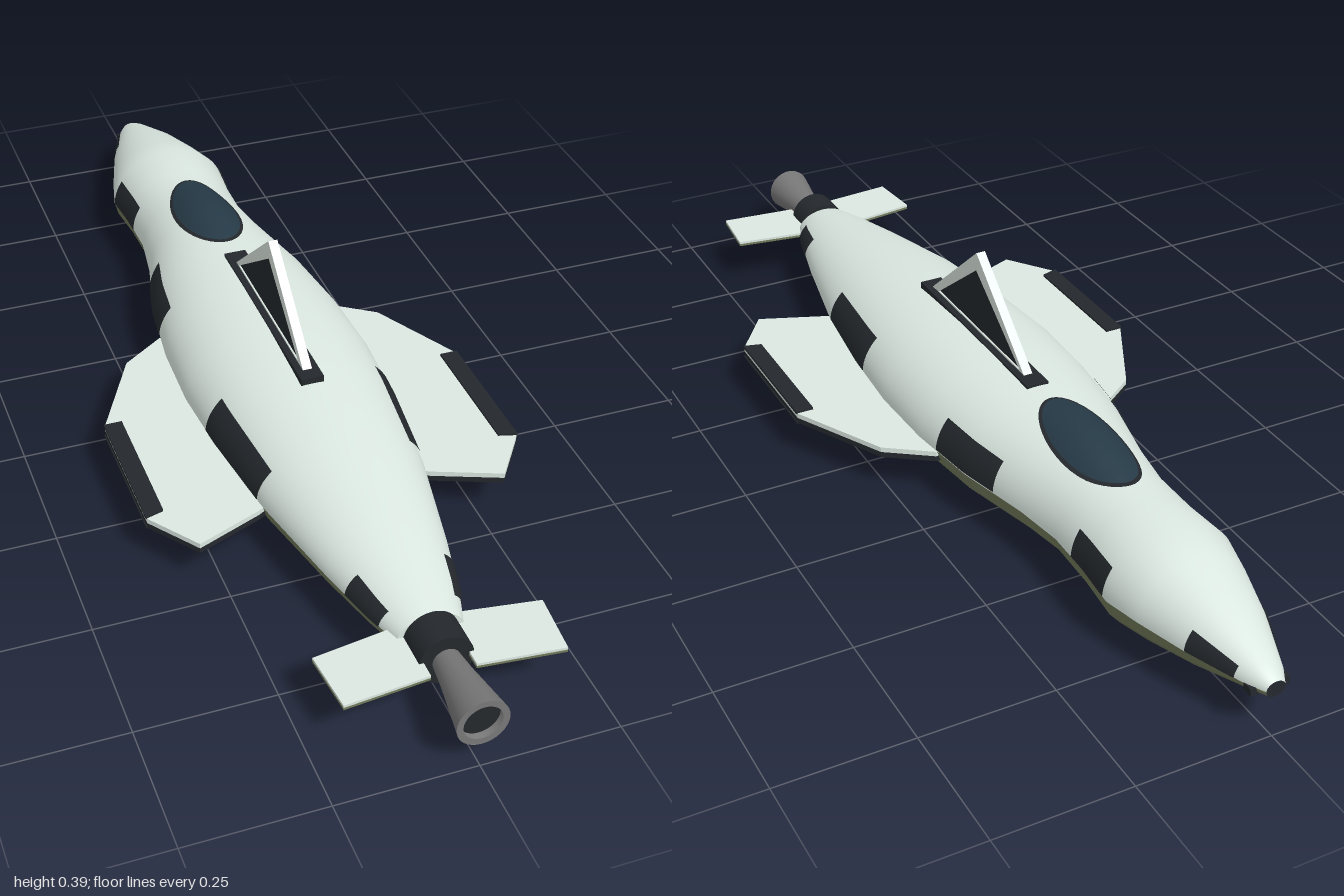
import * as THREE from 'three';

const mat = (color, extra = {}) => new THREE.MeshStandardMaterial({ color, ...extra });
const white = mat(0xdce8e2), olive = mat(0x717a5a), oliveFlat = mat(0x717a5a, { flatShading: true });
const dark = mat(0x24282c), glass = mat(0x263a47), metal = mat(0x777777, { side: THREE.DoubleSide });
const AXIS = 0.1; // height of the seam between upper and lower hull

// hull stations: z, half width, top, bottom
const stations = [
  [-1, 0.018, 0.115, 0.085], [-0.97, 0.035, 0.13, 0.08], [-0.86, 0.078, 0.168, 0.05],
  [-0.76, 0.108, 0.193, 0.027], [-0.69, 0.125, 0.208, 0.015], [-0.6, 0.117, 0.206, 0.022],
  [-0.5, 0.115, 0.209, 0.029], [-0.4, 0.13, 0.218, 0.018], [-0.25, 0.166, 0.225, 0.005],
  [-0.1, 0.185, 0.228, 0.003], [0.05, 0.19, 0.228, 0.003], [0.2, 0.18, 0.22, 0.009],
  [0.4, 0.155, 0.203, 0.019], [0.6, 0.113, 0.173, 0.039], [0.72, 0.083, 0.153, 0.054], [0.79, 0.06, 0.14, 0.063],
];

function section(z) {
  let i = 0;
  while (i < stations.length - 2 && z > stations[i + 1][0]) i++;
  const a = stations[i], b = stations[i + 1], t = (z - a[0]) / (b[0] - a[0]);
  return a.map((v, k) => v + (b[k] - v) * t);
}

// point on the hull at angle a (0 = +x, PI/2 = top), raised by off
function hullPoint(a, z, off = 0) {
  const [, w, top, bottom] = section(z), s = Math.sin(a);
  const h = s >= 0 ? top - AXIS : AXIS - bottom;
  return [(w + off) * Math.cos(a), AXIS + (h + off) * s, z];
}

// grid surface; fn takes u, v in 0..1
function sheet(fn, nu, nv) {
  const pos = [], index = [];
  for (let j = 0; j <= nv; j++) for (let i = 0; i <= nu; i++) pos.push(...fn(i / nu, j / nv));
  for (let j = 0; j < nv; j++) for (let i = 0; i < nu; i++) {
    const a = j * (nu + 1) + i, b = a + nu + 1;
    index.push(a, a + 1, b + 1, a, b + 1, b);
  }
  const g = new THREE.BufferGeometry();
  g.setAttribute('position', new THREE.Float32BufferAttribute(pos, 3));
  g.setIndex(index);
  g.computeVertexNormals();
  return g;
}

const shapeOf = (pts) => new THREE.Shape(pts.map(([x, y]) => new THREE.Vector2(x, y)));
const extrude = (shape, depth) => new THREE.ExtrudeGeometry(shape, { depth, bevelEnabled: false });

// flat plan outline (x, z) turned into a slab whose upper face is at yTop
const slab = (pts, side, yTop, depth) =>
  extrude(shapeOf(pts.map(([x, z]) => [x * side, z])), depth).rotateX(Math.PI / 2).translate(0, yTop, 0);

export function createModel() {
  const group = new THREE.Group();
  const add = (name, geometry, material, x = 0, y = 0, z = 0) => {
    const m = new THREE.Mesh(geometry, material);
    m.name = name;
    m.position.set(x, y, z);
    group.add(m);
    return m;
  };
  const PI = Math.PI, last = stations.length - 1;

  // hull: smooth upper shell, faceted belly, closed ends
  const row = (v) => stations[Math.round(v * last)][0];
  add('upperHull', sheet((u, v) => hullPoint(u * PI, row(v)), 40, last), white);
  add('belly', sheet((u, v) => hullPoint(PI + u * PI, row(v)), 9, last), oliveFlat);
  add('sternCap', new THREE.CircleGeometry(1, 32).scale(0.06, 0.038, 1), white, 0, 0.1015, 0.79);
  add('noseCap', new THREE.CircleGeometry(1, 20).rotateY(PI).scale(0.018, 0.015, 1), dark, 0, AXIS, -1);
  add('noseBar', new THREE.BoxGeometry(0.074, 0.014, 0.02), dark, 0, 0.094, -0.975);

  // dark panels along both flanks: z start, z end, top height
  for (const [z0, z1, y] of [[0.66, 0.75, 0.135], [0.16, 0.38, 0.165], [-0.33, -0.16, 0.165], [-0.68, -0.56, 0.155], [-0.95, -0.86, 0.13]]) {
    const top = section((z0 + z1) / 2)[2];
    const high = Math.asin((y - AXIS) / (top - AXIS)), low = 0.04;
    for (const start of [low, PI - high]) {
      add('flankPanel', sheet((u, v) =>
        hullPoint(start + u * (high - low), z0 + v * (z1 - z0), 0.003), 8, 10), dark);
    }
  }

  // canopy: a low bubble following the hull, with a dark rim
  const dome = (rx, rz, rise, lift) => sheet((u, v) => {
    const a = u * PI * 2, x = v * rx * Math.cos(a), z = -0.41 + v * rz * Math.sin(a);
    const [, w, top] = section(z);
    return [x, AXIS + (top - AXIS) * Math.sqrt(1 - (x / w) ** 2) + rise * (1 - v * v) + lift, z];
  }, 40, 10);
  add('canopyRim', dome(0.066, 0.143, 0, 0.002), dark);
  add('canopy', dome(0.06, 0.135, 0.014, 0.004), glass);

  // dorsal fin: triangular frame, inset panel and base trough (outline is -z, y)
  const frame = shapeOf([[-0.22, 0.215], [0.2, 0.215], [-0.01, 0.395]]);
  const inner = [[-0.175, 0.233], [0.165, 0.233], [-0.012, 0.358]];
  frame.holes.push(shapeOf(inner));
  add('finFrame', extrude(frame, 0.018).rotateY(PI / 2).translate(-0.009, 0, 0), white);
  add('finPanel', extrude(shapeOf(inner), 0.012).rotateY(PI / 2).translate(-0.006, 0, 0), dark);
  add('finBase', new THREE.BoxGeometry(0.044, 0.03, 0.45), dark, 0, 0.215, 0.005);

  // wings, tail planes and their details, mirrored
  const wing = [[0.12, -0.16], [0.18, -0.16], [0.265, -0.1], [0.358, 0.08], [0.358, 0.36], [0.29, 0.455], [0.165, 0.405], [0.12, 0.38]];
  const tail = [[0.04, 0.765], [0.065, 0.765], [0.205, 0.785], [0.195, 0.9], [0.04, 0.885]];
  for (const side of [1, -1]) {
    add('wingUpper', slab(wing, side, 0.1, 0.01), white);
    add('wingLower', slab(wing, side, 0.09, 0.011), [olive, dark]);
    add('wingUnderPanel', slab([[0.17, 0.09], [0.29, 0.09], [0.29, 0.34], [0.17, 0.34]], side, 0.081, 0.004), dark);
    add('wingTipStrip', slab([[0.325, 0.08], [0.36, 0.08], [0.36, 0.36], [0.325, 0.35]], side, 0.104, 0.005), dark);
    add('wingTipStripUnder', slab([[0.325, 0.08], [0.36, 0.08], [0.36, 0.36], [0.325, 0.35]], side, 0.081, 0.004), dark);
    add('tailPlaneUpper', slab(tail, side, 0.107, 0.005), white);
    add('tailPlaneLower', slab(tail, side, 0.102, 0.005), olive);
  }

  // belly ports
  for (const x of [-0.035, 0, 0.035]) add('bellyPort', new THREE.BoxGeometry(0.014, 0.008, 0.014), dark, x, 0.047, 0.66);

  // engine collar and flared nozzle along z
  const lathe = (pts) => new THREE.LatheGeometry(pts.map(([r, z]) => new THREE.Vector2(r, z)), 32).rotateX(PI / 2);
  add('engineCollar', new THREE.CylinderGeometry(0.049, 0.049, 0.065, 32).rotateX(PI / 2), dark, 0, AXIS, 0.823);
  add('nozzle', lathe([[0.024, 0.85], [0.03, 0.9], [0.038, 0.95], [0.046, 1]]), metal, 0, AXIS, 0);
  add('nozzleLip', new THREE.RingGeometry(0.034, 0.046, 32), metal, 0, AXIS, 0.9995);
  add('nozzleThroat', new THREE.CircleGeometry(0.036, 32), dark, 0, AXIS, 0.985);

  return group;
}
